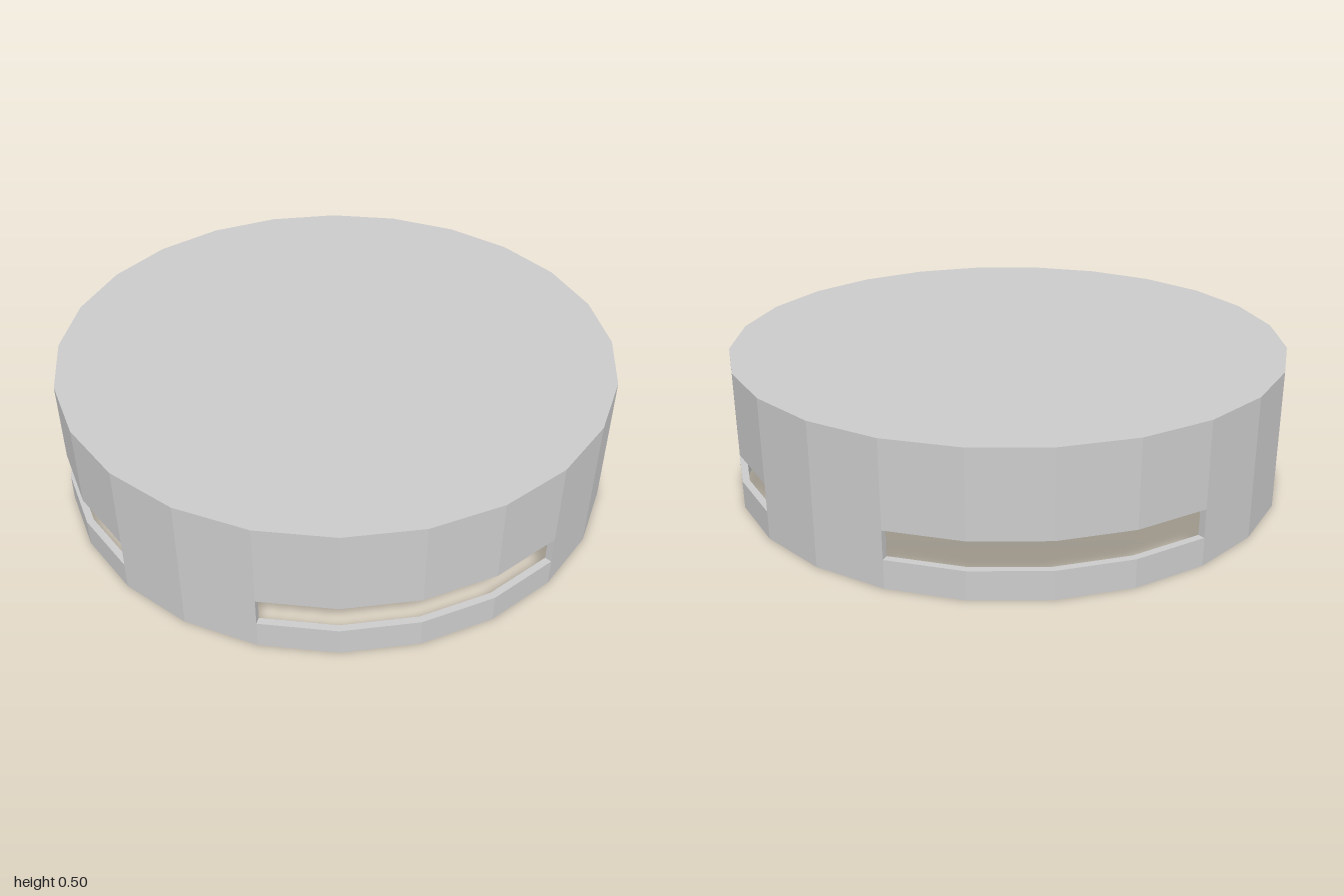
import * as THREE from 'three';

const OUTER = 1, INNER = 0.975;          // wall radii
const HEIGHT = 0.5, CEILING = 0.45;      // cap top and underside
const SLOT_LOW = 0.1, SLOT_HIGH = 0.2;   // slot heights
const STEP = Math.PI / 12;               // one of 24 facets

export function createModel() {
  const group = new THREE.Group();
  const material = new THREE.MeshStandardMaterial({ color: 0xcccccc, flatShading: true });
  const jambMaterial = material.clone();
  jambMaterial.side = THREE.DoubleSide;

  const add = (name, geometry, mat = material) => {
    const mesh = new THREE.Mesh(geometry, mat);
    mesh.name = name;
    group.add(mesh);
  };

  // Sweeps a profile of [radius, y] points over a number of facets
  const sweep = (name, profile, first, count) => add(name, new THREE.LatheGeometry(
    profile.map(([r, y]) => new THREE.Vector2(r, y)), count, first * STEP, count * STEP));

  // Cap and wall in section, down to a given height
  const capAndWall = (bottom) => [
    [0, CEILING], [INNER, CEILING], [INNER, bottom],
    [OUTER, bottom], [OUTER, HEIGHT], [0, HEIGHT],
  ];
  const rim = [
    [INNER, SLOT_LOW], [INNER, 0], [OUTER, 0], [OUTER, SLOT_LOW], [INNER, SLOT_LOW],
  ];

  for (let quarter = 0; quarter < 4; quarter++) {
    const start = quarter * 6;
    // Full-height wall between slots
    sweep('solidWall', capAndWall(0), start - 1, 2);
    // Wall above and below the slot
    sweep('wallAboveSlot', capAndWall(SLOT_HIGH), start + 1, 4);
    sweep('rimBelowSlot', rim, start + 1, 4);
    // Radial end faces of the slot
    for (const facet of [1, 5]) {
      add('slotEnd', new THREE.PlaneGeometry(OUTER - INNER, SLOT_HIGH - SLOT_LOW)
        .rotateY(Math.PI / 2)
        .translate(0, (SLOT_LOW + SLOT_HIGH) / 2, (OUTER + INNER) / 2)
        .rotateY((start + facet) * STEP), jambMaterial);
    }
  }
  return group;
}
